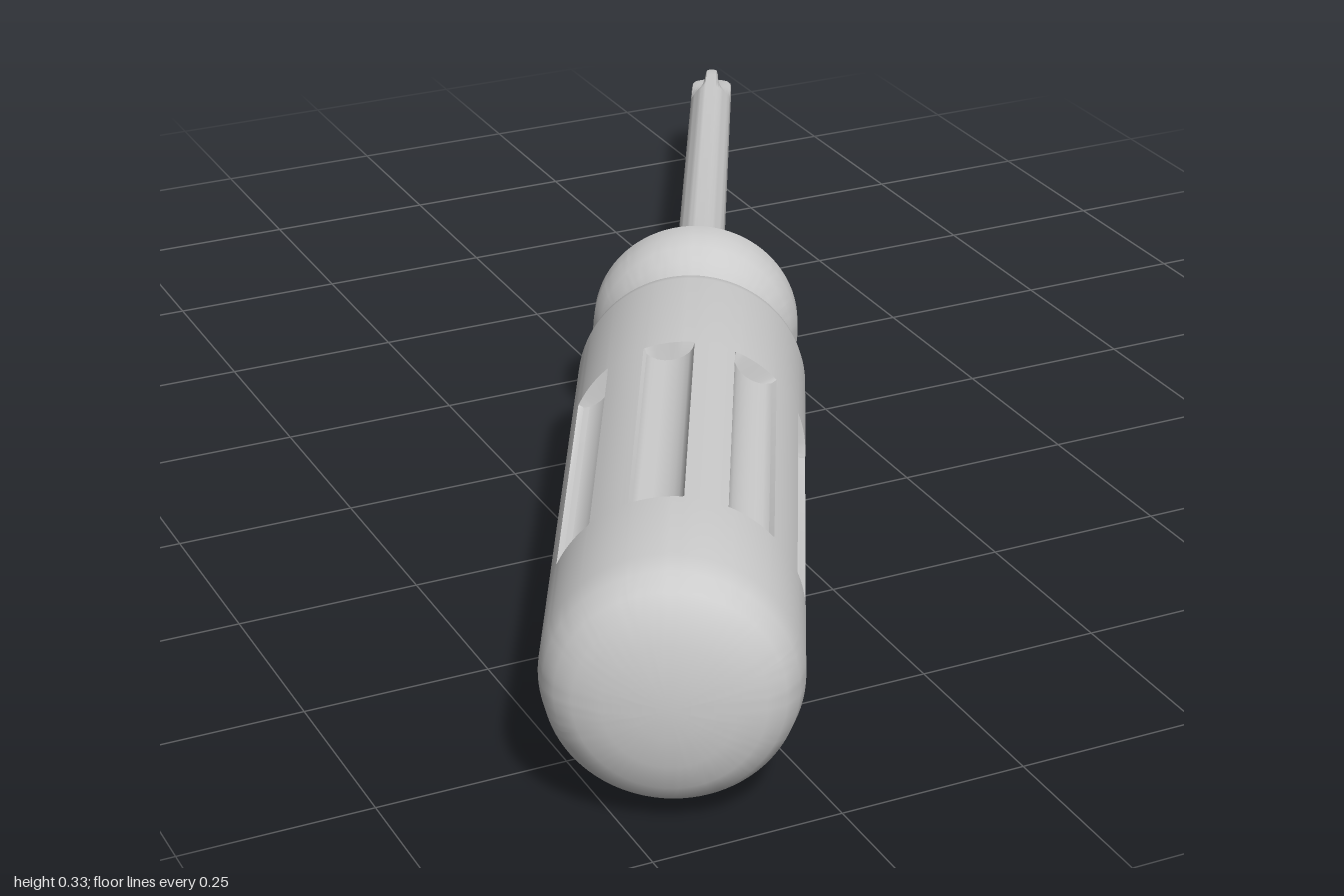
import * as THREE from 'three';
import { toCreasedNormals } from 'three/addons/utils/BufferGeometryUtils.js';

const RAD = Math.PI / 180;
const material = new THREE.MeshStandardMaterial({ color: 0xcccccc });

// Skins rings along local y: rows are [y, radius, cut], radiusAt shapes each ring by angle.
function loft(rows, angles, radiusAt, crease) {
  const n = angles.length, pos = [], index = [];
  for (const [y, r, cut = 0] of rows)
    for (const a of angles) {
      const q = radiusAt(a, r, cut);
      pos.push(q * Math.cos(a), y, q * Math.sin(a));
    }
  for (let i = 0; i < rows.length - 1; i++)
    for (let j = 0; j < n; j++) {
      const k = (j + 1) % n;
      const a = i * n + j, b = a + n, c = i * n + k, d = c + n;
      if (rows[i][1] > 0) index.push(a, b, c);
      if (rows[i + 1][1] > 0) index.push(b, d, c);
    }
  const geometry = new THREE.BufferGeometry();
  geometry.setAttribute('position', new THREE.Float32BufferAttribute(pos, 3));
  geometry.setIndex(index);
  return toCreasedNormals(geometry, crease);
}

function part(name, geometry) {
  const mesh = new THREE.Mesh(geometry, material);
  mesh.name = name;
  return mesh;
}

// Grip with eight scooped finger grooves, waisted neck and flat collar
function makeHandle() {
  const half = 12.5 * RAD, step = 45 * RAD, first = 9 * RAD, depth = 0.024;
  const angles = [];
  for (let k = 0; k < 8; k++) {
    const mid = first + k * step;
    for (let i = 0; i <= 10; i++) angles.push(mid - half * Math.cos(i / 10 * Math.PI));
    for (let i = 1; i < 5; i++) angles.push(mid + half + (step - 2 * half) * i / 5);
  }
  const scoop = (a, r, cut) => {
    const off = a - first - Math.round((a - first) / step) * step;
    const u = Math.min(1, Math.abs(off) / half);
    return r - cut * depth * Math.sqrt(Math.max(0, 1 - u * u));
  };
  const rows = [
    // domed butt
    [-1.085, 0], [-1.083, 0.04], [-1.077, 0.08], [-1.065, 0.115], [-1.05, 0.137],
    [-1.026, 0.152], [-0.995, 0.159],
    // grooved grip
    [-0.842, 0.159], [-0.839, 0.159, 1], [-0.378, 0.159, 1], [-0.375, 0.159],
    // shoulder and neck
    [-0.155, 0.159], [-0.14, 0.157], [-0.126, 0.15], [-0.105, 0.128], [-0.088, 0.115],
    [-0.062, 0.109], [-0.037, 0.113], [-0.012, 0.127], [0.01, 0.139],
    // collar
    [0.03, 0.148], [0.069, 0.148], [0.069, 0],
  ];
  return part('handle', loft(rows, angles, scoop, 0.6));
}

// Round shaft with a small root fillet and a four-finned cross tip
function makeShaft() {
  const angles = Array.from({ length: 48 }, (_, i) => i / 48 * Math.PI * 2);
  const flute = (a, r, cut) => {
    const quarter = Math.PI / 2;
    const u = Math.abs(a - Math.round(a / quarter) * quarter) / (quarter / 2);
    return r * (1 - cut * Math.min(1, Math.max(0, (u - 0.32) / 0.5)));
  };
  const rows = [
    [0.06, 0.05], [0.07, 0.048], [0.082, 0.041], [0.105, 0.0365],
    [1.0, 0.034], [1.03, 0.034, 0.2], [1.06, 0.034, 0.4], [1.085, 0.0335, 0.52],
    [1.1, 0.029, 0.56], [1.112, 0.02, 0.56], [1.12, 0.009, 0.4], [1.122, 0],
  ];
  return part('shaftAndCrossTip', loft(rows, angles, flute, 0.5));
}

export function createModel() {
  const model = new THREE.Group();
  model.name = 'screwdriver';
  const tool = new THREE.Group();
  tool.name = 'tool';
  tool.add(makeHandle(), makeShaft());

  // Lay the tool down diagonally, tip slightly lower than the butt
  const along = new THREE.Vector3(0.457, -0.0173, -0.889).normalize();
  const side = new THREE.Vector3(0.889, 0, 0.457).normalize();
  const up = new THREE.Vector3().crossVectors(side, along);
  tool.quaternion.setFromRotationMatrix(new THREE.Matrix4().makeBasis(side, along, up));
  tool.position.set(0.034, 0.159, 0);
  model.add(tool);
  return model;
}
